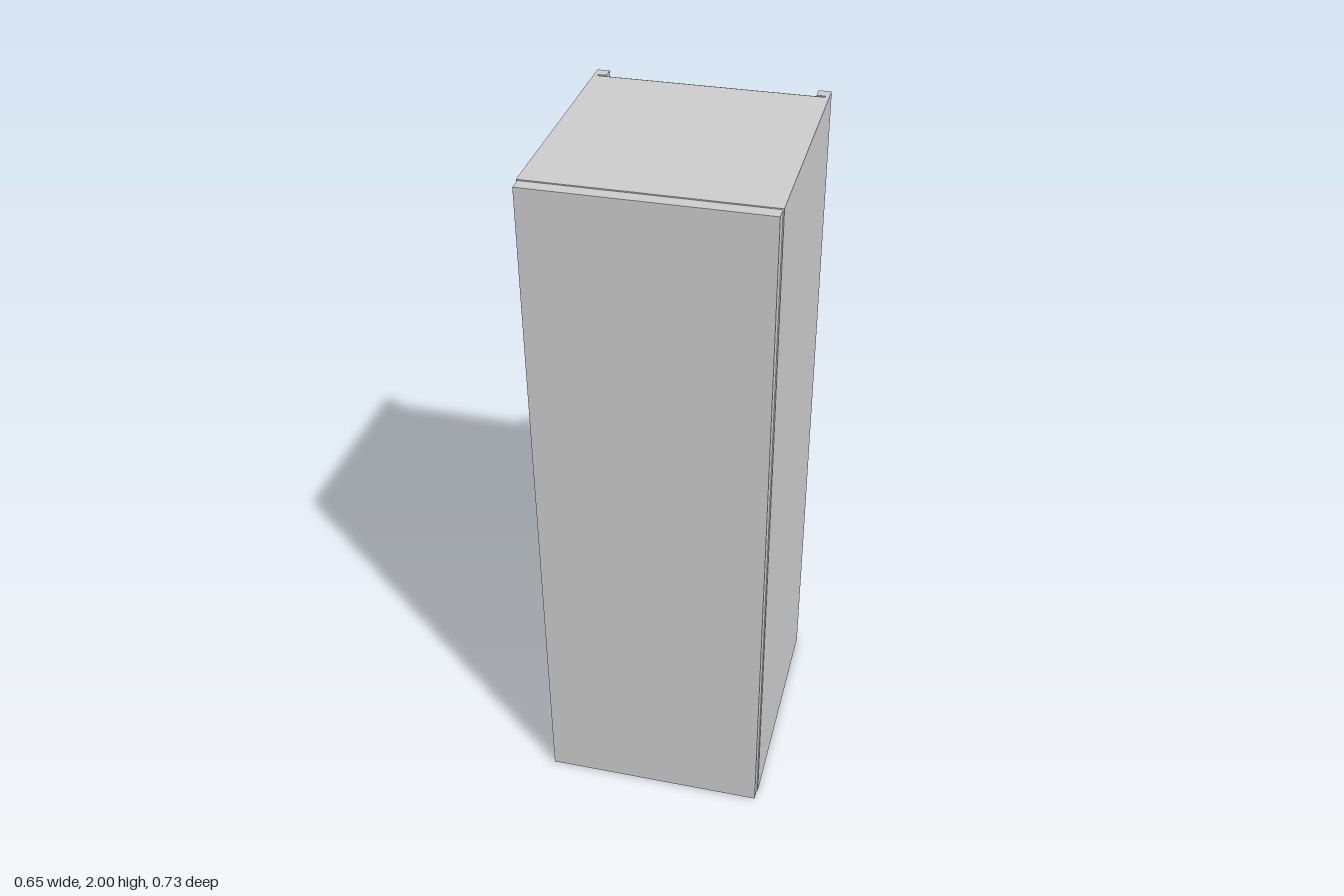
import * as THREE from 'three';

const material = new THREE.MeshStandardMaterial({ color: 0xcccccc });

const HEIGHT = 2;
const OUTER = 0.325;   // half width of the carcass
const INNER = 0.29;    // half width between the sides
const BACK = -0.367;
const FRONT = 0.331;   // front edge of the carcass
const GROOVE = { x: 0.314, z0: -0.333, z1: -0.325 };

// Box given by its limits on each axis
function panel(name, [x0, x1], [y0, y1], [z0, z1]) {
  const mesh = new THREE.Mesh(new THREE.BoxGeometry(x1 - x0, y1 - y0, z1 - z0), material);
  mesh.position.set((x0 + x1) / 2, (y0 + y1) / 2, (z0 + z1) / 2);
  mesh.name = name;
  return mesh;
}

// Upright side with a full-height groove for the back panel
function sidePanel(name, sign) {
  const plan = [
    [OUTER, BACK], [OUTER, FRONT], [INNER, FRONT],
    [INNER, GROOVE.z1], [GROOVE.x, GROOVE.z1],
    [GROOVE.x, GROOVE.z0], [INNER, GROOVE.z0], [INNER, BACK],
  ];
  const shape = new THREE.Shape(plan.map(([x, z]) => new THREE.Vector2(sign * x, -z)));
  const geometry = new THREE.ExtrudeGeometry(shape, { depth: HEIGHT, bevelEnabled: false });
  geometry.rotateX(-Math.PI / 2);
  const mesh = new THREE.Mesh(geometry, material);
  mesh.name = name;
  return mesh;
}

export function createModel() {
  const group = new THREE.Group();
  group.name = 'tallCabinet';

  // Carcass
  group.add(sidePanel('leftSide', 1), sidePanel('rightSide', -1));
  group.add(panel('bottomPanel', [-INNER, INNER], [0, 0.035], [BACK, FRONT]));
  group.add(panel('topPanel', [-INNER, INNER], [HEIGHT - 0.035, HEIGHT], [GROOVE.z1, FRONT]));

  // Thin back panel, slightly narrower than its grooves
  group.add(panel('backPanel', [-0.306, 0.306], [0.035, HEIGHT - 0.003], [GROOVE.z0, GROOVE.z1]));

  // Door with a small reveal all round
  group.add(panel('door', [-0.322, 0.322], [0.003, HEIGHT - 0.003], [FRONT, 0.367]));

  return group;
}
